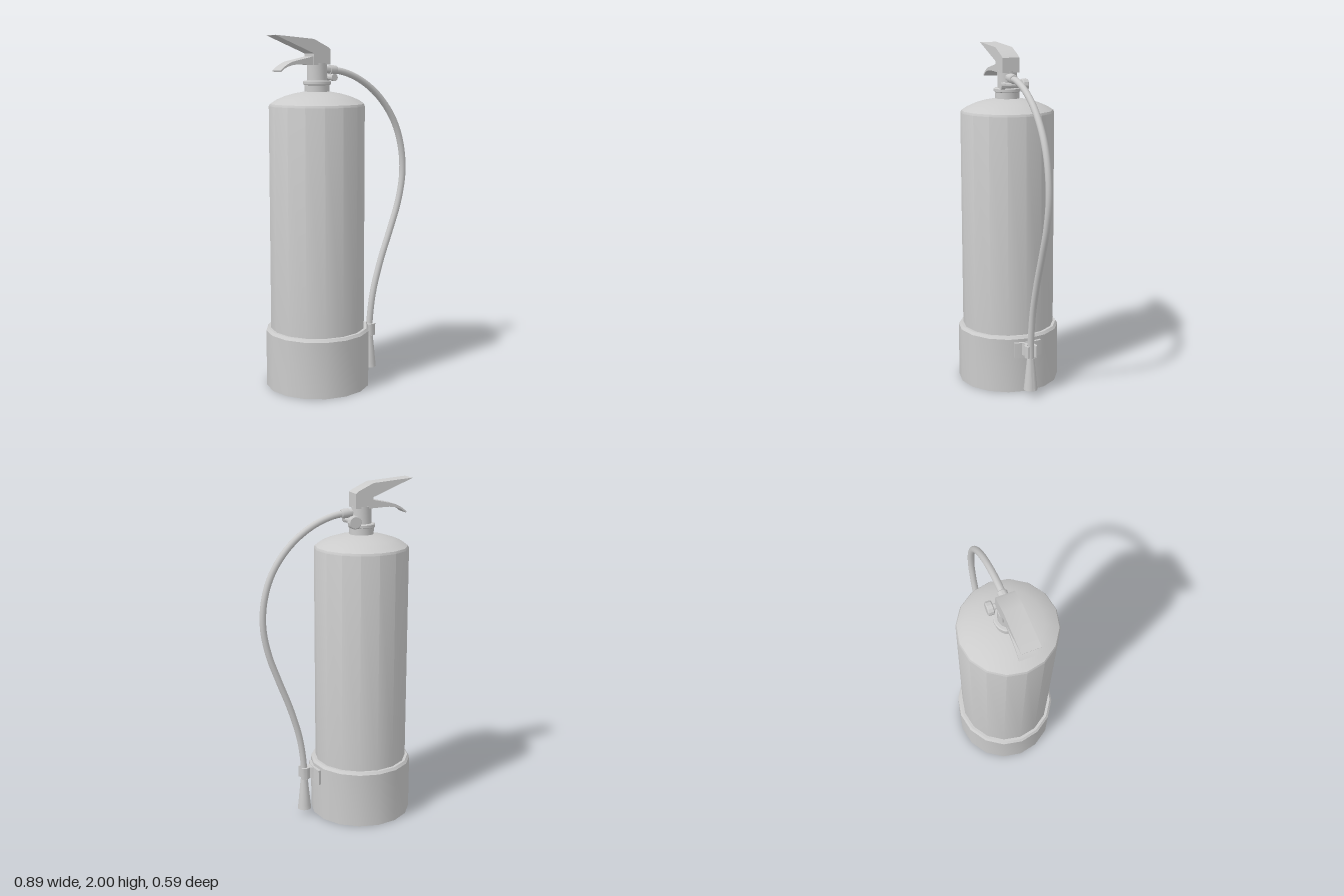
import * as THREE from 'three';
import { toCreasedNormals } from 'three/addons/utils/BufferGeometryUtils.js';

const material = new THREE.MeshStandardMaterial({ color: 0xcccccc });
const thin = new THREE.MeshStandardMaterial({ color: 0xcccccc, side: THREE.DoubleSide });
const points = (list) => list.map(([x, y]) => new THREE.Vector2(x, y));

export function createModel() {
  const model = new THREE.Group();
  model.name = 'fireExtinguisher';
  // Everything is built around the tank axis, then turned slightly.
  const unit = new THREE.Group();
  unit.name = 'extinguisherUnit';
  unit.position.set(-0.148, 0, 0);
  unit.rotation.y = -0.235;
  model.add(unit);

  function add(name, geometry, x = 0, y = 0, z = 0, mat = material) {
    const mesh = new THREE.Mesh(geometry, mat);
    mesh.name = name;
    mesh.position.set(x, y, z);
    unit.add(mesh);
    return mesh;
  }
  const turned = (profile, sides, crease = 0.5) =>
    toCreasedNormals(new THREE.LatheGeometry(points(profile), sides), crease);
  // Side outline in the xy plane, given a width along z.
  const slab = (shape, width, curveSegments = 8) =>
    toCreasedNormals(new THREE.ExtrudeGeometry(shape, { depth: width, bevelEnabled: false, curveSegments })
      .translate(0, 0, -width / 2), 0.4);

  // Tank with domed shoulder
  add('tank', turned([
    [0.272, 0.3], [0.272, 1.612], [0.266, 1.625], [0.235, 1.645], [0.19, 1.664],
    [0.135, 1.68], [0.07, 1.692], [0, 1.696],
  ], 16));

  // Foot boot with chamfered rim
  add('foot', turned([
    [0, 0], [0.3, 0], [0.3, 0.325], [0.288, 0.34], [0.27, 0.34],
  ], 16));

  // Neck, locking ring and valve body
  add('neck', turned([
    [0.07, 1.68], [0.07, 1.728], [0.078, 1.732], [0.078, 1.748], [0.072, 1.753],
    [0.057, 1.753], [0.057, 1.85], [0, 1.85],
  ], 20));

  // Upper squeeze lever
  add('upperLever', slab(new THREE.Shape(points([
    [-0.288, 1.998], [-0.05, 1.902], [-0.05, 1.84], [0.055, 1.84], [0.055, 1.925],
    [0.04, 1.937], [-0.05, 1.98], [-0.288, 2.0],
  ])), 0.104));

  // Lower carrying handle with drooping tip
  const grip = new THREE.Shape();
  grip.moveTo(-0.255, 1.803);
  grip.quadraticCurveTo(-0.21, 1.845, -0.13, 1.842);
  grip.lineTo(-0.03, 1.838);
  grip.lineTo(-0.03, 1.888);
  grip.lineTo(-0.06, 1.884);
  grip.lineTo(-0.18, 1.858);
  grip.quadraticCurveTo(-0.225, 1.842, -0.258, 1.81);
  grip.closePath();
  add('lowerHandle', slab(grip, 0.09));

  // Cross fitting with gauge at the back and plug at the front
  const side = (profile, sides) => turned(profile, sides).rotateX(Math.PI / 2);
  add('gauge', side([
    [0, -0.092], [0.033, -0.092], [0.038, -0.087], [0.038, -0.062], [0.033, -0.057],
    [0.016, -0.055], [0.016, 0.045], [0.02, 0.045], [0.02, 0.072], [0, 0.072],
  ], 12), 0.072, 1.77, 0);
  const boss = add('gaugeBoss', new THREE.CylinderGeometry(0.018, 0.018, 0.07, 12), 0.045, 1.77, 0);
  boss.rotation.z = Math.PI / 2;

  // Hose outlet collar
  const collar = add('hoseCollar', turned([
    [0, -0.06], [0.022, -0.06], [0.022, 0], [0.027, 0], [0.027, 0.04], [0.022, 0.045], [0, 0.045],
  ], 14), 0.075, 1.812, 0.01);
  collar.rotation.z = -Math.PI / 2 - 0.08;

  // Hose
  const path = new THREE.CatmullRomCurve3([
    [0.08, 1.811], [0.165, 1.8], [0.285, 1.753], [0.412, 1.66], [0.52, 1.52], [0.576, 1.37],
    [0.592, 1.2], [0.563, 1.03], [0.508, 0.87], [0.437, 0.68], [0.383, 0.49], [0.36, 0.32], [0.358, 0.2],
  ].map(([x, y]) => new THREE.Vector3(x, y, 0.01)));
  add('hose', new THREE.TubeGeometry(path, 64, 0.019, 12));

  // Flared hollow nozzle
  add('nozzle', turned([
    [0.03, 0.12], [0.032, 0.035], [0.041, 0.035], [0.038, 0.06], [0.024, 0.2], [0.021, 0.225], [0.01, 0.225],
  ], 14), 0.358, 0, 0.01, thin);
  add('nozzleThroat', new THREE.CircleGeometry(0.03, 14).rotateX(Math.PI / 2), 0.358, 0.12, 0.01);

  // Hose clip: curved plate on the foot, tapering arm and open ring
  const flat = (shape, height) => slab(shape, height).rotateX(-Math.PI / 2);
  const plate = new THREE.Shape();
  plate.absarc(0, 0, 0.311, -0.28, 0.28, false);
  plate.absarc(0, 0, 0.29, 0.28, -0.28, true);
  add('clipPlate', flat(plate, 0.092), 0, 0.26, 0);
  add('clipArm', flat(new THREE.Shape(points([
    [0.295, -0.05], [0.312, -0.042], [0.335, -0.024], [0.335, 0.004], [0.312, 0.022], [0.295, 0.03],
  ])), 0.07), 0, 0.268, 0);
  const ring = new THREE.Shape();
  ring.absarc(0, 0, 0.036, 0.75, Math.PI * 2 - 0.75, false);
  ring.absarc(0, 0, 0.021, Math.PI * 2 - 0.75, 0.75, true);
  add('clipRing', flat(ring, 0.07), 0.358, 0.268, 0.01);

  return model;
}
